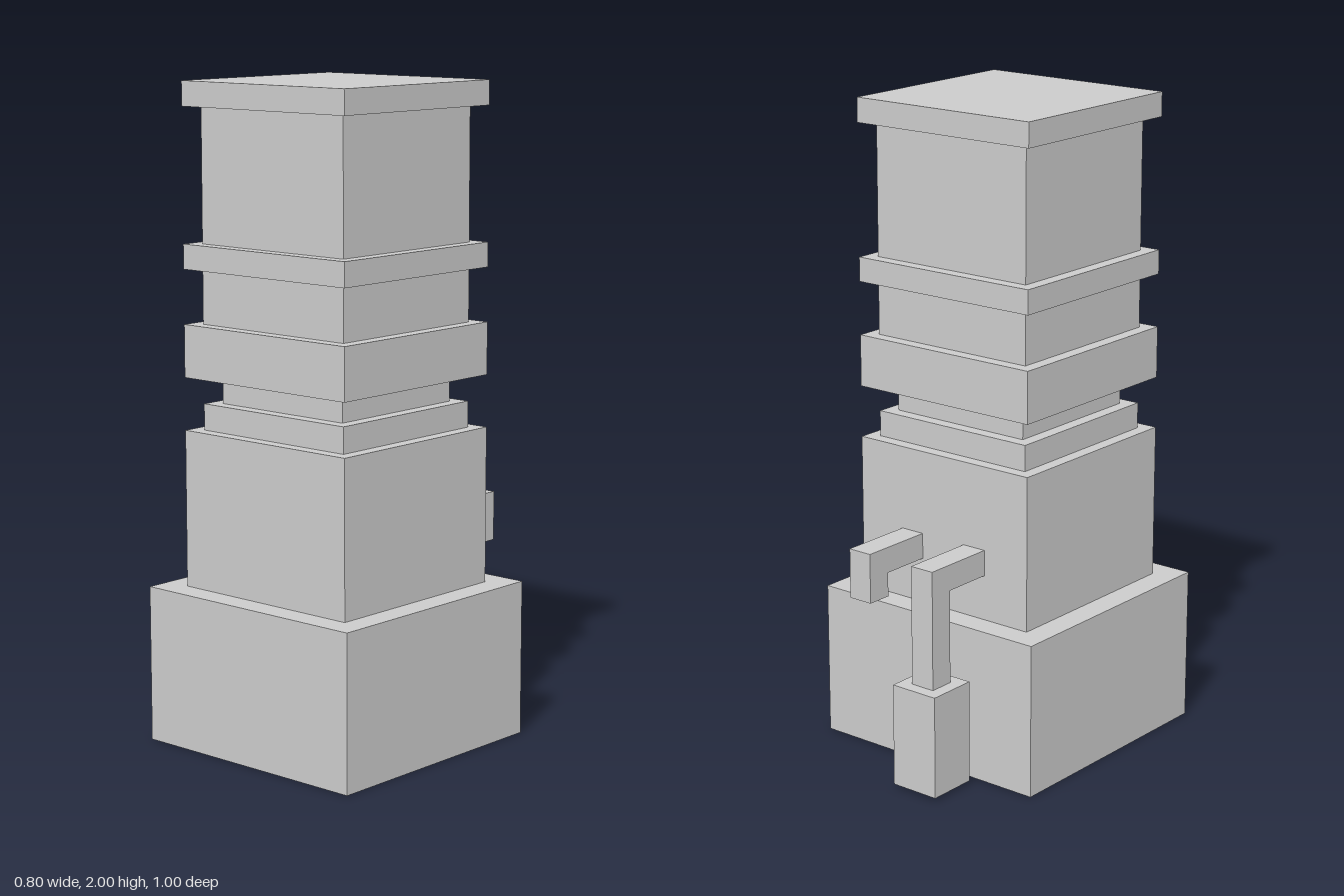
import * as THREE from 'three';

const material = new THREE.MeshStandardMaterial({ color: 0xcccccc, flatShading: true });

function addMesh(parent, name, geometry, x, y, z) {
  const mesh = new THREE.Mesh(geometry, material);
  mesh.name = name;
  mesh.position.set(x, y, z);
  parent.add(mesh);
  return mesh;
}

// L-shaped bracket: reaches backwards from the tower wall, then drops to y = bottom
function bracketGeometry(bottom) {
  const [wall, inner, outer, under, top] = [0.22, 0.38, 0.46, 0.62, 0.7];
  const shape = new THREE.Shape([
    [wall, under], [inner, under], [inner, bottom],
    [outer, bottom], [outer, top], [wall, top],
  ].map(([u, y]) => new THREE.Vector2(u, y)));
  const geometry = new THREE.ExtrudeGeometry(shape, { depth: 0.08, bevelEnabled: false });
  geometry.translate(0, 0, -0.04);
  geometry.rotateY(Math.PI / 2); // shape x becomes -z, thickness runs along x
  return geometry;
}

export function createModel() {
  const model = new THREE.Group();
  model.name = 'tower';

  // Stacked square tiers: name, width, bottom, top
  const tiers = [
    ['base', 0.8, 0, 0.48],
    ['lowerShaft', 0.64, 0.48, 0.96],
    ['neckStep', 0.56, 0.96, 1.04],
    ['neck', 0.48, 1.04, 1.12],
    ['lowerCollar', 0.64, 1.12, 1.28],
    ['middleShaft', 0.56, 1.28, 1.445],
    ['upperCollar', 0.64, 1.445, 1.52],
    ['upperShaft', 0.56, 1.52, 1.925],
    ['cap', 0.64, 1.925, 2],
  ];
  const stack = new THREE.Group();
  stack.name = 'tierStack';
  stack.position.z = 0.1;
  model.add(stack);
  for (const [name, width, bottom, top] of tiers) {
    addMesh(stack, name, new THREE.BoxGeometry(width, top - bottom, width), 0, (bottom + top) / 2, 0);
  }

  // Rear brackets: a short one on the left, a long one carrying a weight on the right
  addMesh(model, 'leftBracket', bracketGeometry(0.545), 0.12, 0, 0);
  addMesh(model, 'rightBracket', bracketGeometry(0.33), -0.12, 0, 0);
  addMesh(model, 'hangingWeight', new THREE.BoxGeometry(0.16, 0.32, 0.16), -0.12, 0.17, -0.42);

  return model;
}
